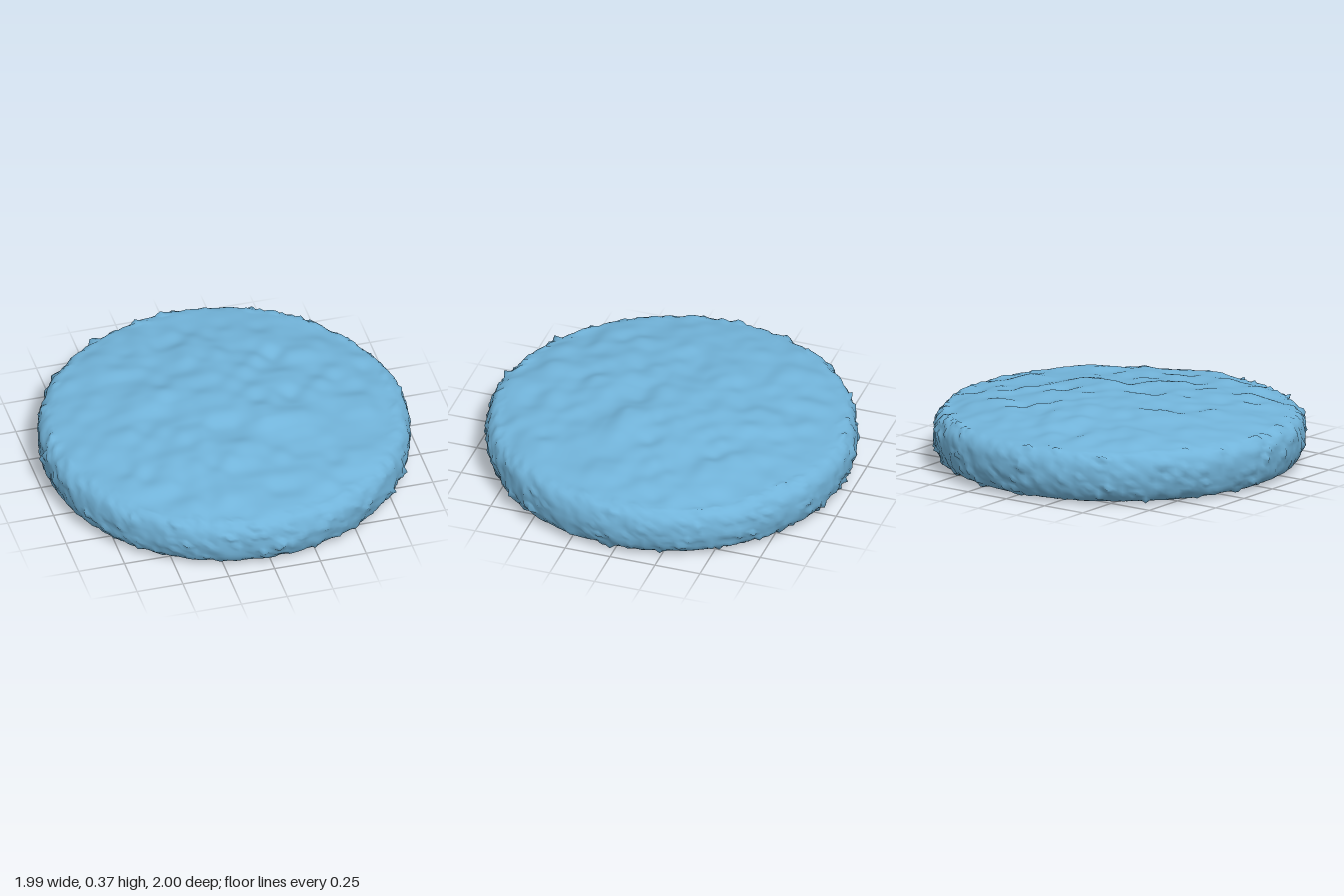
import * as THREE from 'three';
import { mergeVertices } from 'three/addons/utils/BufferGeometryUtils.js';

// Repeatable hash and smooth 3D value noise in the range -1..1
function hash(x, y, z) {
  const s = Math.sin(x * 127.1 + y * 311.7 + z * 74.7) * 43758.5453;
  return (s - Math.floor(s)) * 2 - 1;
}

function noise(x, y, z) {
  const [i, j, k] = [x, y, z].map(Math.floor);
  const fade = (t) => t * t * (3 - 2 * t);
  const u = fade(x - i), v = fade(y - j), w = fade(z - k);
  const mix = THREE.MathUtils.lerp;
  const row = (b, c) => mix(hash(i, b, c), hash(i + 1, b, c), u);
  return mix(mix(row(j, k), row(j + 1, k), v), mix(row(j, k + 1), row(j + 1, k + 1), v), w);
}

// Disc with a flat base, rounded side and gently domed top
function discGeometry() {
  const profile = new THREE.SplineCurve([
    [0, 0.014], [0.45, 0.014], [0.84, 0.015], [0.915, 0.026], [0.955, 0.065],
    [0.975, 0.13], [0.978, 0.19], [0.967, 0.24], [0.945, 0.27], [0.9, 0.29],
    [0.65, 0.324], [0.35, 0.35], [0, 0.362],
  ].map(([x, y]) => new THREE.Vector2(x, y)));
  const points = profile.getSpacedPoints(120);
  points[0].x = points[120].x = 0;

  let geometry = new THREE.LatheGeometry(points, 240);
  geometry.deleteAttribute('uv');
  geometry.deleteAttribute('normal');
  geometry = mergeVertices(geometry, 1e-4);
  geometry.computeVertexNormals();
  return geometry;
}

// Push the surface in and out: broad lumps on top, grain and small barbs at the rim
function roughen(geometry) {
  const pos = geometry.attributes.position;
  const nor = geometry.attributes.normal;
  const p = new THREE.Vector3(), n = new THREE.Vector3();
  for (let i = 0; i < pos.count; i++) {
    p.fromBufferAttribute(pos, i);
    n.fromBufferAttribute(nor, i);
    const radius = Math.hypot(p.x, p.z);
    const height = THREE.MathUtils.smoothstep(p.y, 0.02, 0.3);
    const rim = THREE.MathUtils.smoothstep(radius, 0.86, 0.95);
    const lumps = noise(p.x * 5.5 + 3, p.y * 5, p.z * 5.5 + 8) * 0.02
      + noise(p.x * 11 + 5, p.y * 9, p.z * 11 + 2) * 0.012;
    const grain = noise(p.x * 28, p.y * 22, p.z * 28) * 0.008;
    const barbs = Math.max(0, noise(p.x * 38 + 9, p.y * 38, p.z * 38 + 4)) ** 3 * 0.035;
    p.addScaledVector(n, lumps * height * (1 - 0.7 * rim) + (grain + barbs) * rim);
    pos.setXYZ(i, p.x, p.y, p.z);
  }
  geometry.computeVertexNormals();
  return geometry;
}

export function createModel() {
  const group = new THREE.Group();
  group.name = 'roughDisc';
  const blue = new THREE.MeshStandardMaterial({ color: 0x72b4da });
  blue.name = 'sky blue';
  const disc = new THREE.Mesh(roughen(discGeometry()), blue);
  disc.name = 'disc';
  group.add(disc);
  return group;
}
